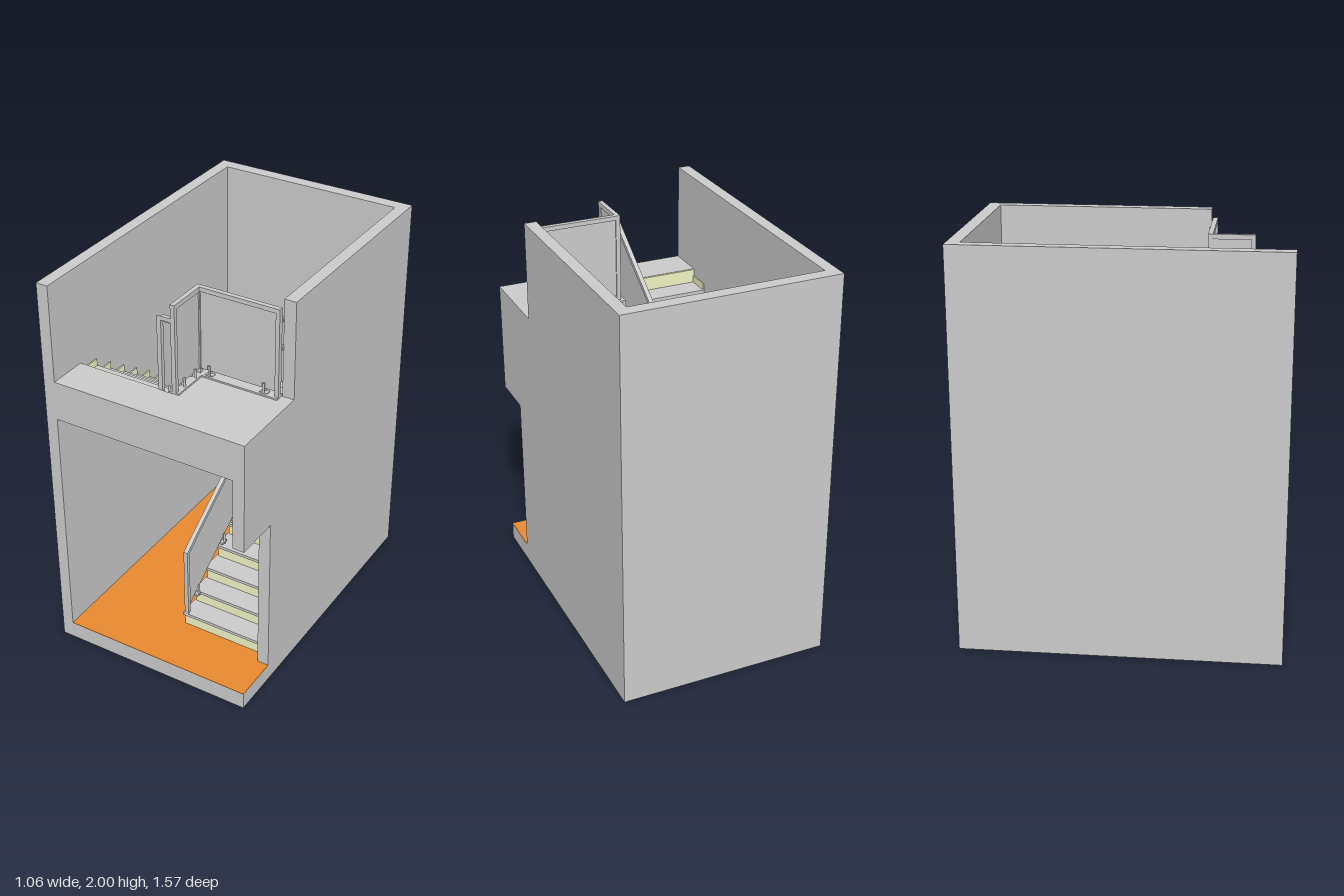
import * as THREE from 'three';

const GREY = new THREE.MeshStandardMaterial({ color: 0xcccccc });
const CREAM = new THREE.MeshStandardMaterial({ color: 0xf2f4c4 });
const ORANGE = new THREE.MeshStandardMaterial({ color: 0xe88a30 });

const GOING = 0.1065;
const treadY = k => 0.09 + 0.071 * k; // top of step k
const THICK = 0.016;

export function createModel() {
  const root = new THREE.Group();

  const add = (geo, name, mat = GREY, parent = root) => {
    const m = new THREE.Mesh(geo, mat);
    m.name = name;
    parent.add(m);
    return m;
  };
  // Box given by its limits on each axis
  const box = (name, x0, x1, y0, y1, z0, z1, mat, parent) => {
    const g = new THREE.BoxGeometry(x1 - x0, y1 - y0, z1 - z0);
    g.translate((x0 + x1) / 2, (y0 + y1) / 2, (z0 + z1) / 2);
    return add(g, name, mat, parent);
  };
  // Outline in (z, y) extruded from x0 to x1
  const side = (name, pts, x0, x1, mat, parent) => {
    const s = new THREE.Shape(pts.map(p => new THREE.Vector2(...p)));
    const g = new THREE.ExtrudeGeometry(s, { depth: x1 - x0, bevelEnabled: false });
    g.rotateY(-Math.PI / 2).translate(x1, 0, 0);
    return add(g, name, mat, parent);
  };
  // Outline in (x, z) raised from y0 to y1; y0 may be a rule of x
  const plan = (name, pts, y0, y1, mat, parent) => {
    const s = new THREE.Shape(pts.map(([x, z]) => new THREE.Vector2(x, -z)));
    const g = new THREE.ExtrudeGeometry(s, { depth: 1, bevelEnabled: false }).rotateX(-Math.PI / 2);
    const p = g.attributes.position;
    for (let i = 0; i < p.count; i++) {
      const low = typeof y0 === 'function' ? y0(p.getX(i)) : y0;
      p.setY(i, p.getY(i) > 0.5 ? y1 : low);
    }
    g.computeVertexNormals();
    return add(g, name, mat, parent);
  };

  // Building shell
  box('groundSlab', -0.53, 0.53, 0, 0.086, -0.785, 0.785);
  plan('floorCovering', [[-0.47, -0.72], [0.47, -0.72], [0.47, 0.55], [0.53, 0.55], [0.53, 0.785], [-0.47, 0.785]],
    0.086, 0.09, ORANGE);
  box('leftOuterWall', -0.53, -0.47, 0.086, 2, -0.785, 0.785);
  box('backWall', -0.47, 0.47, 0.086, 2, -0.785, -0.72);
  side('doorwayWall', [[-0.785, 0.086], [0.55, 0.086], [0.55, 0.94], [0.785, 0.94], [0.785, 1.51],
    [0.355, 1.51], [0.355, 2], [-0.785, 2]], 0.47, 0.53);
  plan('upperFloor', [[-0.47, 0.59], [0.02, 0.59], [0.02, 0.345], [0.47, 0.345], [0.47, 0.785], [-0.47, 0.785]],
    1.31, 1.51);

  // Straight flights: solid carcass, risers, treads and wall skirting
  const flight = (name, s, n, k0, z0, dir, zEnd, soffit) => {
    const f = new THREE.Group();
    f.name = name;
    root.add(f);
    const span = (a, b) => s > 0 ? [a, b] : [-b, -a];
    const outline = [];
    for (let i = 0; i < n; i++) {
      const nose = z0 + dir * GOING * i;
      const next = i === n - 1 ? zEnd : nose + dir * GOING;
      const front = nose + dir * 0.012, y = treadY(k0 + i);
      const zs = (a, b) => [Math.min(a, b), Math.max(a, b)];
      outline.push([front, treadY(k0 + i - 1) - (i ? THICK : 0)], [front, y - THICK]);
      box('riser', ...span(0.016, 0.47), treadY(k0 + i - 1), y - THICK, ...zs(front - dir * 0.005, front + dir * 0.002), CREAM, f);
      box('tread', ...span(0.006, 0.47), y - THICK, y, ...zs(nose, next + dir * 0.012), GREY, f);
      box('skirting', ...span(0.464, 0.47), y, y + 0.035, ...zs(nose, next), CREAM, f);
    }
    outline.push([zEnd, treadY(k0 + n - 1) - THICK], ...soffit);
    side('carcass', outline, ...span(0.02, 0.47), GREY, f);
  };
  flight('lowerFlight', 1, 7, 1, 0.5, -1, -0.24, [[-0.24, 0.5], [0.37, 0.09]]);
  flight('upperFlight', -1, 8, 12, -0.28, 1, 0.59, [[0.59, 1.31], [0.5, 1.31], [-0.268, 0.78]]);
  box('topRiser', -0.47, -0.016, treadY(19), 1.508, 0.583, 0.592, CREAM);

  // Winder steps turning at the back, over one sloping soffit
  const winders = new THREE.Group();
  winders.name = 'winderSteps';
  root.add(winders);
  [
    [[0.012, -0.24], [0.47, -0.24], [0.47, -0.66], [0.03, -0.25]],
    [[0.03, -0.25], [0.47, -0.66], [0.47, -0.72], [0.017, -0.72], [0.017, -0.25]],
    [[0.017, -0.72], [-0.38, -0.72], [-0.02, -0.29], [0.017, -0.27]],
    [[-0.38, -0.72], [-0.47, -0.72], [-0.47, -0.27], [-0.008, -0.27], [-0.02, -0.29]],
  ].forEach((pts, i) => {
    const y = treadY(8 + i);
    plan('winderCarcass', pts, x => 0.645 - 0.16 * x, y - THICK, GREY, winders);
    plan('winderTread', pts, y - THICK, y, GREY, winders);
  });
  [[0.016, -0.245, 0.47, -0.245], [0.03, -0.25, 0.47, -0.66], [0.017, -0.27, 0.017, -0.72], [-0.02, -0.29, -0.38, -0.72]]
    .forEach(([xa, za, xb, zb], i) => {
      const g = new THREE.BoxGeometry(Math.hypot(xb - xa, zb - za), 0.071 - THICK, 0.01);
      const m = add(g, 'winderRiser', CREAM, winders);
      m.position.set((xa + xb) / 2, treadY(7.5 + i) - THICK / 2, (za + zb) / 2);
      m.rotation.y = Math.atan2(za - zb, xb - xa);
    });
  const skirt = (x0, x1, z0, z1, k) =>
    box('winderSkirting', x0, x1, treadY(k), treadY(k) + 0.035, z0, z1, CREAM, winders);
  skirt(0.464, 0.47, -0.66, -0.24, 8);
  skirt(0.464, 0.47, -0.72, -0.66, 9);
  skirt(0.017, 0.47, -0.72, -0.714, 9);
  skirt(-0.38, 0.017, -0.72, -0.714, 10);
  skirt(-0.47, -0.38, -0.72, -0.714, 11);
  skirt(-0.47, -0.464, -0.72, -0.28, 11);

  // Balustrades: end posts, top rail and infill panel on small clamps
  const clamp = (x, y, z, parent, alongX) => {
    const a = alongX ? 0.02 : 0.014, b = alongX ? 0.014 : 0.02;
    box('clampFoot', x - a, x + a, y, y + 0.012, z - b, z + b, GREY, parent);
    for (const d of [-0.011, 0.011]) {
      const c = add(new THREE.CylinderGeometry(0.006, 0.006, 0.06, 10), 'clampPin', GREY, parent);
      c.position.set(x + (alongX ? 0 : d), y + 0.03, z + (alongX ? d : 0));
    }
  };
  const balustrade = (name, x, za, ya, zb, yb, h, clampZ) => {
    const b = new THREE.Group();
    b.name = name;
    root.add(b);
    const at = z => ya + (yb - ya) * (z - za) / (zb - za);
    const w = 0.011, t = 0.02;
    const strip = (nm, z0, z1, lo, hi, hw) => side(nm,
      [[z0, at(z0) + lo], [z1, at(z1) + lo], [z1, at(z1) + hi], [z0, at(z0) + hi]], x - hw, x + hw, GREY, b);
    strip('post', za, za + t, 0, h, w);
    strip('post', zb - t, zb, 0, h, w);
    strip('topRail', za + t, zb - t, h - 0.024, h, w);
    strip('panel', za + t, zb - t, 0.03, h - 0.024, 0.004);
    clampZ.forEach(z => clamp(x, at(z) - 0.01, z, b, false));
    return b;
  };
  balustrade('lowerFlightBalustrade', 0.03, -0.3, 0.7, 0.5, 0.16, 0.385, [-0.16, 0.05, 0.155, 0.4]);
  balustrade('upperFlightBalustrade', -0.024, -0.3, 0.915, 0.59, 1.51, 0.38, [-0.24, 0.08, 0.18, 0.5]);
  box('railLink', -0.013, 0.04, 1.87, 1.89, 0.57, 0.59);
  balustrade('landingSideBalustrade', 0.048, 0.365, 1.51, 0.59, 1.51, 0.45, [0.43, 0.52]);

  const front = new THREE.Group();
  front.name = 'landingBackBalustrade';
  root.add(front);
  box('post', 0.447, 0.467, 1.51, 1.96, 0.363, 0.387, GREY, front);
  box('topRail', 0.059, 0.447, 1.938, 1.96, 0.363, 0.387, GREY, front);
  box('panel', 0.059, 0.447, 1.54, 1.938, 0.371, 0.379, GREY, front);
  for (const x of [0.105, 0.39]) clamp(x, 1.51, 0.375, front, true);
  for (const y of [1.76, 1.9]) box('wallBracket', 0.455, 0.472, y - 0.01, y + 0.01, 0.345, 0.365, GREY, front);
  box('basePlate', 0.02, 0.467, 1.51, 1.518, 0.347, 0.4, GREY, front);
  box('basePlate', 0.02, 0.073, 1.51, 1.518, 0.4, 0.59, GREY, front);

  return root;
}
